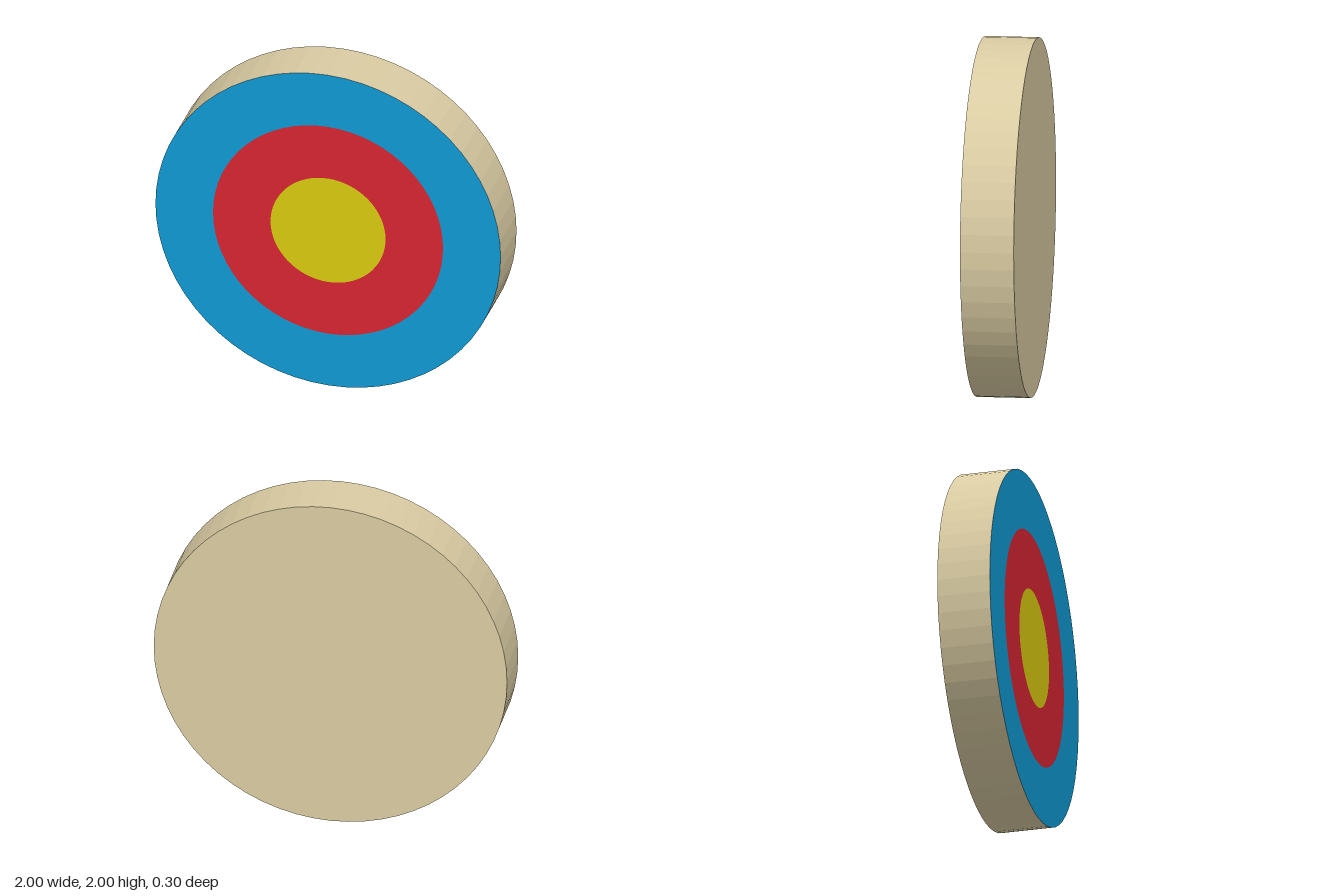
import * as THREE from 'three';

const SEGMENTS = 64;
const RADIUS = 1;
const DEPTH = 0.3;

function material(name, color, flatShading = false) {
  const m = new THREE.MeshStandardMaterial({ color, flatShading });
  m.name = name;
  return m;
}

export function createModel() {
  const target = new THREE.Group();
  target.name = 'target';

  const straw = material('straw', 0xd9cba2, true);
  const blue = material('blue', 0x1099d3);
  const red = material('red', 0xd62531);
  const yellow = material('yellow', 0xd9c910);

  const add = (name, geometry, mat, z) => {
    const mesh = new THREE.Mesh(geometry, mat);
    mesh.name = name;
    mesh.position.set(0, RADIUS, z);
    target.add(mesh);
  };

  // Faceted rim, open at both ends so the painted face can close the front
  const rim = new THREE.CylinderGeometry(RADIUS, RADIUS, DEPTH, SEGMENTS, 1, true);
  rim.rotateX(Math.PI / 2).rotateZ(Math.PI / 2);
  add('rim', rim, straw, 0);

  // Plain back
  const back = new THREE.CircleGeometry(RADIUS, SEGMENTS).rotateY(Math.PI);
  add('back', back, straw, -DEPTH / 2);

  // Painted front: two rings around a disc, all in one plane
  add('outerRing', new THREE.RingGeometry(RADIUS * 2 / 3, RADIUS, SEGMENTS), blue, DEPTH / 2);
  add('middleRing', new THREE.RingGeometry(RADIUS / 3, RADIUS * 2 / 3, SEGMENTS), red, DEPTH / 2);
  add('bullseye', new THREE.CircleGeometry(RADIUS / 3, SEGMENTS), yellow, DEPTH / 2);

  return target;
}
